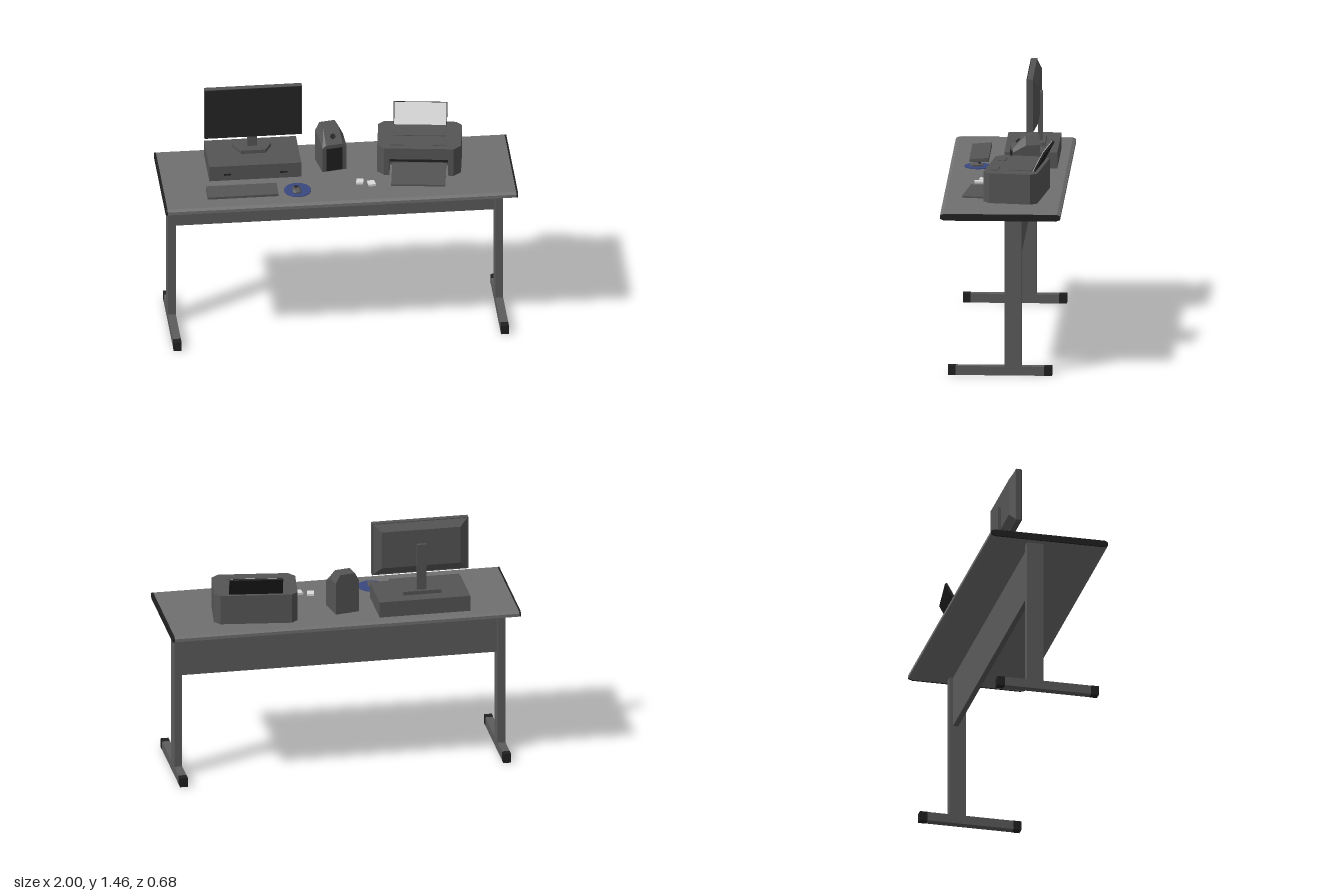
import * as THREE from 'three';

const mat = (name, color, side = THREE.FrontSide) => {
  const m = new THREE.MeshStandardMaterial({ color, side });
  m.name = name;
  return m;
};

export function createModel() {
  const deskGrey = mat('deskGrey', 0x707070);
  const frameGrey = mat('frameGrey', 0x5c5c5c);
  const deviceGrey = mat('deviceGrey', 0x555555);
  const black = mat('black', 0x202020);
  const screenBlack = mat('screenBlack', 0x242424);
  const white = mat('paperWhite', 0xdcdcdc);
  const blue = mat('padBlue', 0x3a4880);
  const TOP = 0.942;

  const root = new THREE.Group();
  root.name = 'officeDesk';
  const group = (name, x = 0, y = 0, z = 0, turn = 0) => {
    const g = new THREE.Group();
    g.name = name;
    g.position.set(x, y, z);
    g.rotation.y = turn;
    root.add(g);
    return g;
  };
  const add = (parent, name, geometry, material) => {
    const m = new THREE.Mesh(geometry, material);
    m.name = name;
    parent.add(m);
    return m;
  };
  // Box given by its limits on each axis
  const box = (parent, name, [x0, x1], [y0, y1], [z0, z1], material) => {
    const g = new THREE.BoxGeometry(x1 - x0, y1 - y0, z1 - z0);
    g.translate((x0 + x1) / 2, (y0 + y1) / 2, (z0 + z1) / 2);
    return add(parent, name, g, material);
  };
  // Upright prism from an [x, z] outline
  const prism = (parent, name, outline, y0, y1, material) => {
    const shape = new THREE.Shape(outline.map(([x, z]) => new THREE.Vector2(x, -z)));
    const g = new THREE.ExtrudeGeometry(shape, { depth: y1 - y0, bevelEnabled: false });
    g.rotateX(-Math.PI / 2).translate(0, y0, 0);
    return add(parent, name, g, material);
  };
  // Faceted loft through rings of [x, y] points, from back to front
  const loft = (parent, name, sections, material) => {
    const p = [];
    const rings = sections.map(({ z, ring }) => ring.map(([x, y]) => [x, y, z]));
    const n = rings[0].length;
    const tri = (a, b, c) => p.push(...a, ...b, ...c);
    for (let s = 0; s < rings.length - 1; s++) {
      for (let i = 0; i < n; i++) {
        const j = (i + 1) % n, A = rings[s], B = rings[s + 1];
        tri(A[i], A[j], B[j]);
        tri(A[i], B[j], B[i]);
      }
    }
    const back = rings[0], front = rings[rings.length - 1];
    for (let i = 1; i < n - 1; i++) {
      tri(front[0], front[i], front[i + 1]);
      tri(back[0], back[i + 1], back[i]);
    }
    const g = new THREE.BufferGeometry();
    g.setAttribute('position', new THREE.Float32BufferAttribute(p, 3));
    g.computeVertexNormals();
    return add(parent, name, g, material);
  };

  // Desk top with chamfered long edges and dark end strips
  const desk = group('desk');
  const edge = [[-0.34, 0.914], [-0.315, 0.905], [0.315, 0.905], [0.34, 0.914],
    [0.34, 0.932], [0.322, TOP], [-0.322, TOP], [-0.34, 0.932]];
  const slab = (name, x0, x1, material) => {
    const m = loft(desk, name, [{ z: x0, ring: edge }, { z: x1, ring: edge }], material);
    m.geometry.rotateY(Math.PI / 2);
  };
  slab('deskTop', -0.99, 0.99, deskGrey);
  slab('rightEndStrip', -1, -0.99, black);
  slab('leftEndStrip', 0.99, 1, black);

  // Legs, feet and modesty panel
  for (const s of [-1, 1]) {
    const x = s < 0 ? [-0.952, -0.907] : [0.907, 0.952];
    box(desk, 'leg', x, [0.053, 0.906], [-0.12, -0.023], frameGrey);
    box(desk, 'foot', x, [0.001, 0.053], [-0.248, 0.253], frameGrey);
    box(desk, 'frontFootCap', x, [0, 0.054], [0.253, 0.297], black);
    box(desk, 'backFootCap', x, [0, 0.054], [-0.292, -0.248], black);
  }
  box(desk, 'modestyPanel', [-0.907, 0.907], [0.605, 0.906], [-0.1, -0.07], frameGrey);

  // Monitor riser
  const riser = group('monitorRiser');
  box(riser, 'riserBox', [-0.722, -0.2], [TOP, 1.034], [-0.27, 0.03], deviceGrey);
  for (const x of [-0.62, -0.3]) {
    box(riser, 'drawerNotch', [x - 0.02, x + 0.02], [0.975, 0.985], [0.03, 0.033], black);
  }

  // Monitor with a bevelled back, neck and tapered base
  const monitor = group('monitor', -0.46);
  const rect = (w, y0, y1) => [[-w, y0], [w, y0], [w, y1], [-w, y1]];
  const outer = rect(0.277, 1.145, 1.46);
  loft(monitor, 'monitorCase', [
    { z: -0.16, ring: rect(0.225, 1.195, 1.415) },
    { z: -0.132, ring: rect(0.27, 1.15, 1.455) },
    { z: -0.132, ring: outer },
    { z: -0.1, ring: outer },
  ], deviceGrey);
  box(monitor, 'screen', [-0.275, 0.275], [1.147, 1.458], [-0.1, -0.096], screenBlack);
  box(monitor, 'neck', [-0.027, 0.027], [1.05, 1.33], [-0.177, -0.15], deviceGrey);
  prism(monitor, 'monitorBase', [[-0.11, -0.195], [0.11, -0.195], [0.11, -0.175],
    [0.07, -0.1], [-0.07, -0.1], [-0.11, -0.175]], 1.034, 1.055, deviceGrey);

  // Keyboard, mouse pad and mouse
  const keyboard = group('keyboard', 0, 0, 0);
  const keyProfile = [[-0.235, TOP], [-0.125, TOP], [-0.125, 0.966], [-0.235, 0.956]];
  loft(keyboard, 'keyboardBody', [{ z: -0.752, ring: keyProfile }, { z: -0.35, ring: keyProfile }],
    deviceGrey).geometry.rotateY(Math.PI / 2);
  const pad = group('mousePad', -0.237, TOP + 0.002, 0.181);
  add(pad, 'pad', new THREE.CylinderGeometry(0.077, 0.077, 0.004, 32), blue);
  const hump = (w, h) => [[-w, 0.002], [w, 0.002], [w, h * 0.6], [w * 0.6, h], [-w * 0.6, h], [-w, h * 0.6]];
  const mouse = group('mouse', -0.242, TOP + 0.002, 0.186);
  loft(mouse, 'mouseBody', [{ z: -0.038, ring: hump(0.018, 0.009) }, { z: -0.01, ring: hump(0.023, 0.018) },
    { z: 0.02, ring: hump(0.025, 0.019) }, { z: 0.038, ring: hump(0.017, 0.009) }], deviceGrey);
  box(mouse, 'mouseButtons', [-0.012, 0.012], [0.016, 0.02], [-0.022, -0.005], black);

  // Pencil sharpener with sloping front, hole and dark tray
  const sharpener = group('pencilSharpener', -0.02, TOP, -0.095, 0.18);
  const hood = (top, cut, w) => [[-0.071, 0], [0.071, 0], [0.071, top - cut], [w, top],
    [-w, top], [-0.071, top - cut]];
  loft(sharpener, 'sharpenerBody', [{ z: -0.077, ring: hood(0.238, 0.05, 0.045) },
    { z: 0.003, ring: hood(0.238, 0.05, 0.045) }, { z: 0.077, ring: hood(0.168, 0.018, 0.05) }], deviceGrey);
  const hole = add(sharpener, 'pencilHole', new THREE.CylinderGeometry(0.015, 0.015, 0.006, 20), black);
  hole.position.set(0, 0.203, 0.041);
  hole.rotation.x = 0.757;
  box(sharpener, 'shavingsTray', [-0.047, 0.047], [0.004, 0.146], [0.076, 0.08], black);

  // Printer: solid upper body over a lower body with a paper slot
  const printer = group('printer', 0.482, TOP, -0.07, -0.13);
  const w = 0.237, d = 0.155;
  const frontLeft = [[-w + 0.04, d], [-w, d - 0.04]];
  const backAndRight = [[-w, -d + 0.035], [-w + 0.035, -d], [w - 0.035, -d], [w, -d + 0.035],
    [w, d - 0.04], [w - 0.04, d]];
  const slot = [[0.166, d], [0.166, 0.04], [-0.166, 0.04], [-0.166, d]];
  prism(printer, 'printerLower', [...frontLeft, ...backAndRight, ...slot], 0, 0.103, deviceGrey);
  prism(printer, 'printerUpper', [...frontLeft, ...backAndRight], 0.103, 0.173, deviceGrey);
  box(printer, 'slotShadow', [-0.166, 0.166], [0.086, 0.103], [0.04, d - 0.003], black);
  box(printer, 'outputTray', [-0.153, 0.153], [0.006, 0.016], [0.04, 0.287], deviceGrey);
  box(printer, 'feedCover', [-0.148, 0.148], [0.172, 0.177], [-0.11, 0.01], deviceGrey);
  for (const x of [-0.12, 0.12]) {
    box(printer, 'controlPanel', [x - 0.04, x + 0.04], [0.172, 0.178], [0.08, 0.12], deviceGrey);
  }
  // Leaning paper support with a sheet on its front
  const feeder = new THREE.Group();
  feeder.name = 'paperFeeder';
  feeder.position.set(0, 0.165, -0.118);
  feeder.rotation.x = -0.48;
  printer.add(feeder);
  box(feeder, 'paperSupport', [-0.152, 0.152], [0, 0.137], [-0.012, 0], black);
  box(feeder, 'paperSheet', [-0.147, 0.147], [0, 0.134], [0, 0.004], white);

  // Small white blocks on the desk
  for (const [x, z, turn] of [[0.122, 0.13, -0.15], [0.186, 0.156, 0.15]]) {
    const eraser = group('eraser', x, TOP, z, turn);
    box(eraser, 'eraserBlock', [-0.02, 0.02], [0, 0.013], [-0.024, 0.024], white);
  }
  return root;
}
